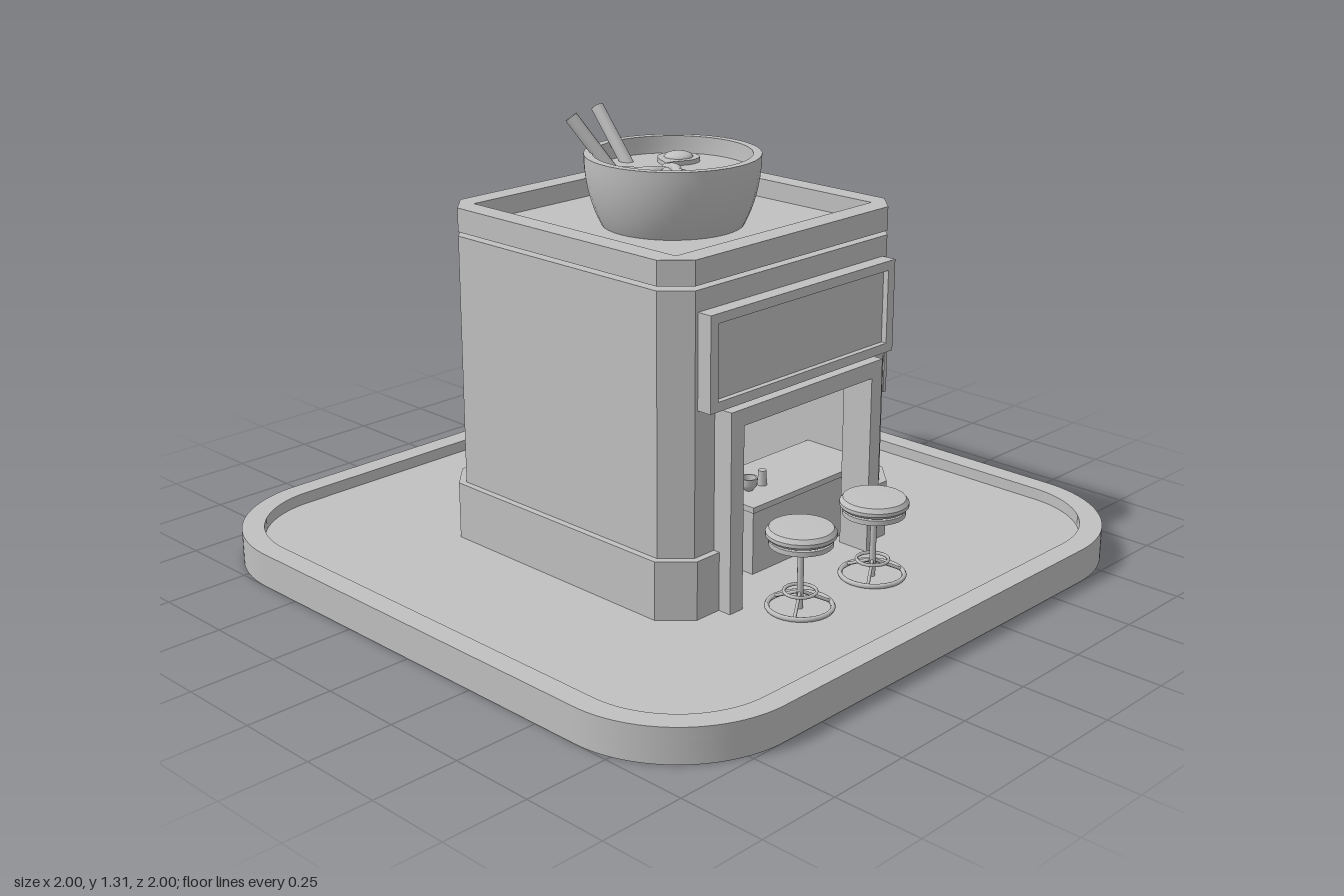
import * as THREE from 'three';
import { toCreasedNormals } from 'three/addons/utils/BufferGeometryUtils.js';

const grey = new THREE.MeshStandardMaterial({ color: 0xc0c0c0 });
grey.name = 'plain grey';
const V = (x, y, z) => new THREE.Vector3(x, y, z);

function add(parent, name, geometry, x = 0, y = 0, z = 0) {
  const mesh = new THREE.Mesh(geometry, grey);
  mesh.name = name;
  mesh.position.set(x, y, z);
  parent.add(mesh);
  return mesh;
}

// Box given by its minimum and maximum corners
function box(parent, name, a, b) {
  const g = new THREE.BoxGeometry(b[0] - a[0], b[1] - a[1], b[2] - a[2]);
  return add(parent, name, g, (a[0] + b[0]) / 2, (a[1] + b[1]) / 2, (a[2] + b[2]) / 2);
}

// Shapes in plan are drawn with y = -z
const polygon = (pts) => new THREE.Shape(pts.map(([x, y]) => new THREE.Vector2(x, y)));
const rect = (x0, y0, x1, y1) => polygon([[x0, y0], [x1, y0], [x1, y1], [x0, y1]]);

function roundedSquare(h, r) {
  const s = new THREE.Shape(), c = h - r;
  s.absarc(c, c, r, 0, Math.PI / 2);
  s.absarc(-c, c, r, Math.PI / 2, Math.PI);
  s.absarc(-c, -c, r, Math.PI, Math.PI * 1.5);
  s.absarc(c, -c, r, Math.PI * 1.5, Math.PI * 2);
  s.closePath();
  return s;
}

const octagon = (h, c) => polygon([
  [c - h, -h], [h - c, -h], [h, c - h], [h, h - c], [h - c, h], [c - h, h], [-h, h - c], [-h, c - h],
]);

// Chamfered walls in plan with a doorway open to the front
const DOOR = 0.265, ROOM = 0.42;
const doorWalls = (h, c) => polygon([
  [DOOR, -h], [h - c, -h], [h, c - h], [h, h - c], [h - c, h], [c - h, h], [-h, h - c], [-h, c - h],
  [c - h, -h], [-DOOR, -h], [-DOOR, -ROOM], [-0.38, -ROOM], [-ROOM, -0.38], [-ROOM, ROOM],
  [ROOM, ROOM], [ROOM, -0.38], [0.38, -ROOM], [DOOR, -ROOM],
]);

function withHole(shape, hole) {
  shape.holes.push(hole);
  return shape;
}

function extrude(shape, depth) {
  const g = new THREE.ExtrudeGeometry(shape, { depth, bevelEnabled: false, curveSegments: 14 });
  return toCreasedNormals(g, 0.5);
}

// Extrude a plan shape upwards from y0 to y1
function raise(parent, name, shape, y0, y1) {
  return add(parent, name, extrude(shape, y1 - y0).rotateX(-Math.PI / 2), 0, y0, 0);
}

function rod(parent, name, a, b, r, sides = 12) {
  const m = add(parent, name, new THREE.CylinderGeometry(r, r, a.distanceTo(b), sides));
  m.position.copy(a).add(b).multiplyScalar(0.5);
  m.quaternion.setFromUnitVectors(V(0, 1, 0), b.clone().sub(a).normalize());
  return m;
}

const lathe = (pts, n = 40) => toCreasedNormals(
  new THREE.LatheGeometry(pts.map(([x, y]) => new THREE.Vector2(x, y)), n), 0.6);

function stool(x, z) {
  const g = new THREE.Group();
  g.name = 'stool';
  g.position.set(x, 0, z);
  add(g, 'cushion', lathe([[0, 0.272], [0.09, 0.272], [0.097, 0.28], [0.097, 0.29], [0.088, 0.302], [0, 0.305]], 28));
  add(g, 'seatPlate', new THREE.CylinderGeometry(0.088, 0.088, 0.014, 28), 0, 0.259, 0);
  add(g, 'post', new THREE.CylinderGeometry(0.009, 0.009, 0.19, 10), 0, 0.16, 0);
  add(g, 'floorRing', new THREE.TorusGeometry(0.09, 0.007, 6, 28).rotateX(Math.PI / 2), 0, 0.072, 0);
  add(g, 'footRest', new THREE.TorusGeometry(0.045, 0.005, 6, 20).rotateX(Math.PI / 2), 0, 0.115, 0);
  for (let i = 0; i < 3; i++) {
    const a = (i * Math.PI * 2) / 3 + 0.5;
    rod(g, 'footSpoke', V(0, 0.115, 0), V(Math.cos(a) * 0.09, 0.072, Math.sin(a) * 0.09), 0.005, 6);
  }
  return g;
}

function noodleBowl() {
  const g = new THREE.Group();
  g.name = 'noodleBowl';
  // Bowl wall follows an ellipse, outside up and inside down
  const outer = [], inner = [];
  for (let i = 0; i <= 10; i++) {
    const y = 0.976 + (0.224 * i) / 10;
    const r = Math.sqrt(1 - ((1.2 - y) / 0.34) ** 2);
    outer.push([0.25 * r, y]);
    if (y > 1.1) inner.unshift([0.225 * r, y]);
  }
  add(g, 'bowl', lathe([[0, 0.976], ...outer, ...inner, [0, inner[inner.length - 1][1]]]));
  add(g, 'soup', new THREE.CylinderGeometry(0.222, 0.21, 0.03, 40), 0, 1.135, 0);

  const noodles = [
    [[-0.17, 0.05], [-0.19, 0], [-0.18, -0.04], [-0.14, -0.06], [-0.1, -0.04], [-0.085, 0], [-0.04, 0.01]],
    [[-0.01, -0.02], [-0.01, 0.02], [-0.03, 0.05], [-0.05, 0.09], [-0.07, 0.07], [-0.06, 0.03]],
    [[-0.16, 0.06], [-0.17, 0.11], [-0.15, 0.17], [-0.09, 0.185], [-0.05, 0.15], [-0.06, 0.12], [-0.12, 0.11], [-0.13, 0.06]],
  ];
  for (const pts of noodles) {
    const path = new THREE.CatmullRomCurve3(pts.map(([x, z], i) => V(x, 1.153 + 0.006 * (i % 2), z)));
    add(g, 'noodle', new THREE.TubeGeometry(path, 24, 0.015, 8));
  }

  // Egg slice with a tapered end
  const white = new THREE.Shape();
  white.moveTo(-0.085, -0.035);
  white.bezierCurveTo(-0.06, 0.03, -0.04, 0.06, 0, 0.06);
  white.bezierCurveTo(0.08, 0.06, 0.08, -0.06, 0, -0.06);
  white.bezierCurveTo(-0.03, -0.06, -0.05, -0.035, -0.085, -0.035);
  add(g, 'eggWhite', extrude(white, 0.015).rotateX(-Math.PI / 2), 0.095, 1.148, -0.07);
  add(g, 'yolk', new THREE.SphereGeometry(0.042, 20, 8, 0, Math.PI * 2, 0, Math.PI / 2).scale(1, 0.4, 1), 0.095, 1.162, -0.07);

  rod(g, 'chopstick', V(-0.11, 1.12, -0.1), V(-0.195, 1.3, -0.205), 0.019);
  rod(g, 'chopstick', V(-0.012, 1.12, -0.15), V(-0.023, 1.295, -0.28), 0.019);
  return g;
}

export function createModel() {
  const model = new THREE.Group();
  model.name = 'noodleShop';

  // Ground slab with raised rim
  raise(model, 'groundSlab', roundedSquare(1, 0.36), 0, 0.065);
  raise(model, 'groundRim', withHole(roundedSquare(1, 0.36), roundedSquare(0.935, 0.295)), 0.065, 0.1);

  // Hollow building with doorway
  raise(model, 'plinth', doorWalls(0.48, 0.08), 0.065, 0.235);
  raise(model, 'lowerWalls', doorWalls(0.46, 0.07), 0.235, 0.6);
  raise(model, 'upperWalls', withHole(octagon(0.46, 0.07), octagon(ROOM, 0.04)), 0.6, 0.95);
  raise(model, 'ceiling', octagon(0.46, 0.07), 0.95, 0.974);

  // Roof tray, set just above the walls
  raise(model, 'roofFloor', rect(-0.395, -0.395, 0.395, 0.395), 0.986, 1.0);
  raise(model, 'roofParapet', withHole(octagon(0.46, 0.07), rect(-0.395, -0.395, 0.395, 0.395)), 0.986, 1.055);
  model.add(noodleBowl());

  // Door frame, open at the bottom
  add(model, 'doorFrame', extrude(polygon([
    [-0.315, 0.065], [-0.265, 0.065], [-0.265, 0.592], [0.265, 0.592],
    [0.265, 0.065], [0.31, 0.065], [0.31, 0.64], [-0.315, 0.64],
  ]), 0.065), 0, 0, 0.455);

  // Sign above the door
  add(model, 'frontSignFrame', extrude(
    withHole(rect(-0.38, 0.648, 0.372, 0.915), rect(-0.35, 0.675, 0.343, 0.888)), 0.05), 0, 0, 0.455);
  box(model, 'frontSignPanel', [-0.35, 0.675, 0.455], [0.343, 0.888, 0.488]);

  // Tall side sign with two cut corners; shape x = -z
  add(model, 'sideSign', extrude(polygon([
    [0.03, 0.375], [0.435, 0.375], [0.435, 0.91], [0.375, 1.015], [-0.025, 1.015], [-0.025, 0.455],
  ]), 0.023).rotateY(Math.PI / 2), 0.456, 0, 0);

  // Wall box on the same side
  box(model, 'wallBox', [0.45, 0.447, 0.113], [0.53, 0.733, 0.352]);
  box(model, 'wallBoxCover', [0.53, 0.445, 0.11], [0.543, 0.735, 0.355]);

  // Counter inside with cup and shaker
  box(model, 'counter', [-0.08, 0.065, 0.17], [ROOM, 0.255, 0.39]);
  box(model, 'counterTop', [-0.09, 0.255, 0.16], [ROOM, 0.272, 0.4]);
  add(model, 'cup', lathe([[0, 0], [0.012, 0], [0.024, 0.016], [0.026, 0.038], [0.021, 0.038], [0.018, 0.016], [0, 0.012]], 16), 0, 0.272, 0.3);
  add(model, 'shaker', new THREE.CylinderGeometry(0.012, 0.014, 0.045, 12), 0.057, 0.294, 0.3);

  // Stools
  model.add(stool(-0.15, 0.625), stool(0.15, 0.633));
  return model;
}
